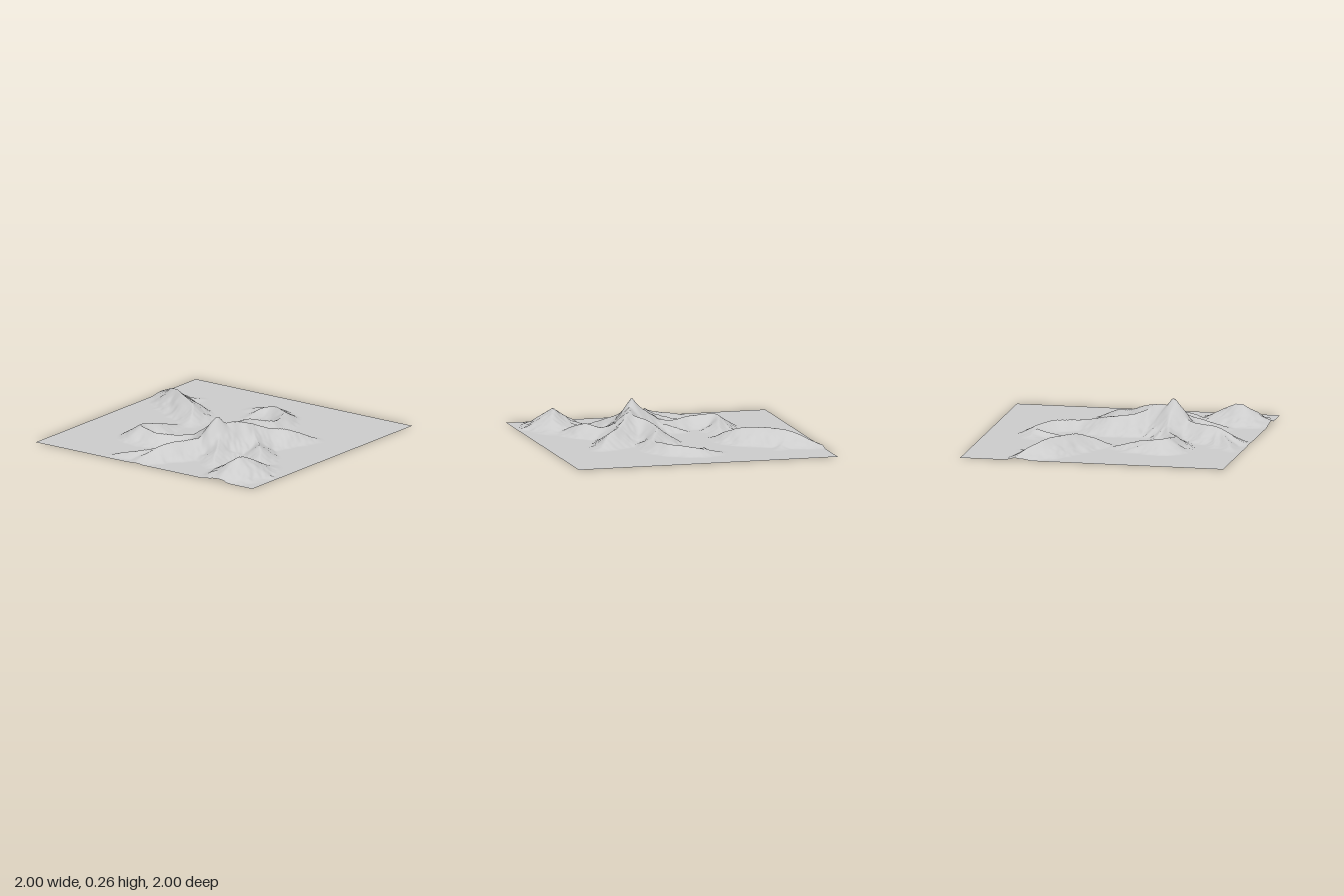
import * as THREE from 'three';

// Smooth crest line through a few [x, z, height] points; spread widens the flanks
function ridge(points, spread = 1) {
  const curve = new THREE.CatmullRomCurve3(points.map(([x, z, h]) => new THREE.Vector3(x, h, z)));
  return { crest: curve.getPoints(points.length * 4), spread };
}

const mainSpine = ridge([[-1, -0.1, 0], [-0.75, -0.01, 0.105], [-0.5, 0.13, 0.12], [-0.36, 0.2, 0.2],
  [-0.19, 0.285, 0.2], [0, 0.41, 0.125], [0.12, 0.5, 0.1], [0.3, 0.66, 0]]);
const summit = ridge([[-0.37, 0.2, 0.265], [-0.35, 0.205, 0.265]], 0.78);
const eastArm = ridge([[-0.17, 0.27, 0.17], [-0.05, 0.16, 0.14], [0.12, 0.15, 0.12], [0.32, 0.235, 0.07],
  [0.54, 0.16, 0.07], [0.65, -0.04, 0.05], [0.6, -0.24, 0]]);
const northArm = ridge([[-0.35, 0.18, 0.2], [-0.39, -0.06, 0.08], [-0.48, -0.28, 0.085],
  [-0.43, -0.46, 0.1], [-0.25, -0.43, 0.07], [0, -0.39, 0]]);
const southWestArm = ridge([[-0.36, 0.21, 0.2], [-0.5, 0.31, 0.11], [-0.76, 0.47, 0]]);
const southArm = ridge([[-0.13, 0.36, 0.13], [-0.22, 0.47, 0.08], [-0.34, 0.58, 0.092], [-0.54, 0.72, 0]]);
const loneMountain = ridge([[-0.87, 0.67, 0.08], [-0.76, 0.71, 0.142], [-0.48, 0.79, 0]], 1.25);
const northEastRange = ridge([[0, -0.32, 0], [0.19, -0.43, 0.1], [0.31, -0.61, 0.122],
  [0.44, -0.79, 0.108], [0.62, -1.02, 0]]);

// Short spur running down from a crest point to its foot
const spur = (x, z, h, footX, footZ) => ridge([[x, z, h], [footX, footZ, 0]], 0.8);

const RIDGES = [
  mainSpine, summit, eastArm, northArm, southWestArm, southArm, loneMountain, northEastRange,
  spur(-0.74, 0, 0.09, -0.78, -0.27),
  spur(-0.8, -0.05, 0.08, -0.94, -0.38),
  spur(-0.36, 0.12, 0.12, -0.28, -0.2),
  spur(-0.34, -0.48, 0.07, -0.13, -0.53),
  spur(0.62, -0.08, 0.05, 0.38, -0.11),
  spur(0.44, -0.78, 0.08, 0.61, -0.64),
];

// Seeded lattice noise
function hash(i, j) {
  const s = Math.sin(i * 127.1 + j * 311.7) * 43758.5453;
  return s - Math.floor(s);
}
function noise(x, z) {
  const i = Math.floor(x), j = Math.floor(z);
  const u = THREE.MathUtils.smoothstep(x - i, 0, 1), v = THREE.MathUtils.smoothstep(z - j, 0, 1);
  const a = THREE.MathUtils.lerp(hash(i, j), hash(i + 1, j), u);
  const b = THREE.MathUtils.lerp(hash(i, j + 1), hash(i + 1, j + 1), u);
  return THREE.MathUtils.lerp(a, b, v) * 2 - 1;
}

// Height of one ridge: a crest falling off to a soft foot, wider where it is taller
function ridgeHeight({ crest, spread }, x, z, rough) {
  let best = 0;
  for (let k = 0; k < crest.length - 1; k++) {
    const a = crest[k], b = crest[k + 1];
    const dx = b.x - a.x, dz = b.z - a.z;
    const t = THREE.MathUtils.clamp(((x - a.x) * dx + (z - a.z) * dz) / (dx * dx + dz * dz), 0, 1);
    const d = Math.hypot(x - a.x - dx * t, z - a.z - dz * t);
    const h = Math.max(0, THREE.MathUtils.lerp(a.y, b.y, t));
    const w = spread * (0.065 + Math.min(h, 0.18) * 1.0 + Math.max(h - 0.18, 0)) * (1 + rough * Math.min(1, d / 0.08));
    if (d < w) best = Math.max(best, h * Math.pow(1 - d / w, 1.35));
  }
  return best;
}

// Ridges blend softly where they meet
function terrainHeight(x, z) {
  const wx = x + 0.012 * noise(x * 11, z * 11), wz = z + 0.012 * noise(x * 11 + 40, z * 11);
  const rough = 0.1 * noise(x * 16, z * 16 + 9) + 0.06 * noise(x * 38, z * 38);
  let height = 0;
  for (const item of RIDGES) {
    const r = ridgeHeight(item, wx, wz, rough);
    const k = Math.min(0.02, height, r);
    const blend = Math.max(k - Math.abs(height - r), 0);
    height = Math.max(height, r) + (k > 0 ? blend * blend / (4 * k) : 0);
  }
  return height;
}

export function createModel() {
  const group = new THREE.Group();
  group.name = 'mountainTerrain';

  // Square sheet raised into mountains
  const geometry = new THREE.PlaneGeometry(2, 2, 160, 160);
  geometry.rotateX(-Math.PI / 2);
  const position = geometry.attributes.position;
  for (let i = 0; i < position.count; i++) {
    position.setY(i, terrainHeight(position.getX(i), position.getZ(i)));
  }
  geometry.computeVertexNormals();

  const terrain = new THREE.Mesh(geometry,
    new THREE.MeshStandardMaterial({ color: 0xcccccc, side: THREE.DoubleSide }));
  terrain.name = 'terrain';
  group.add(terrain);
  return group;
}
